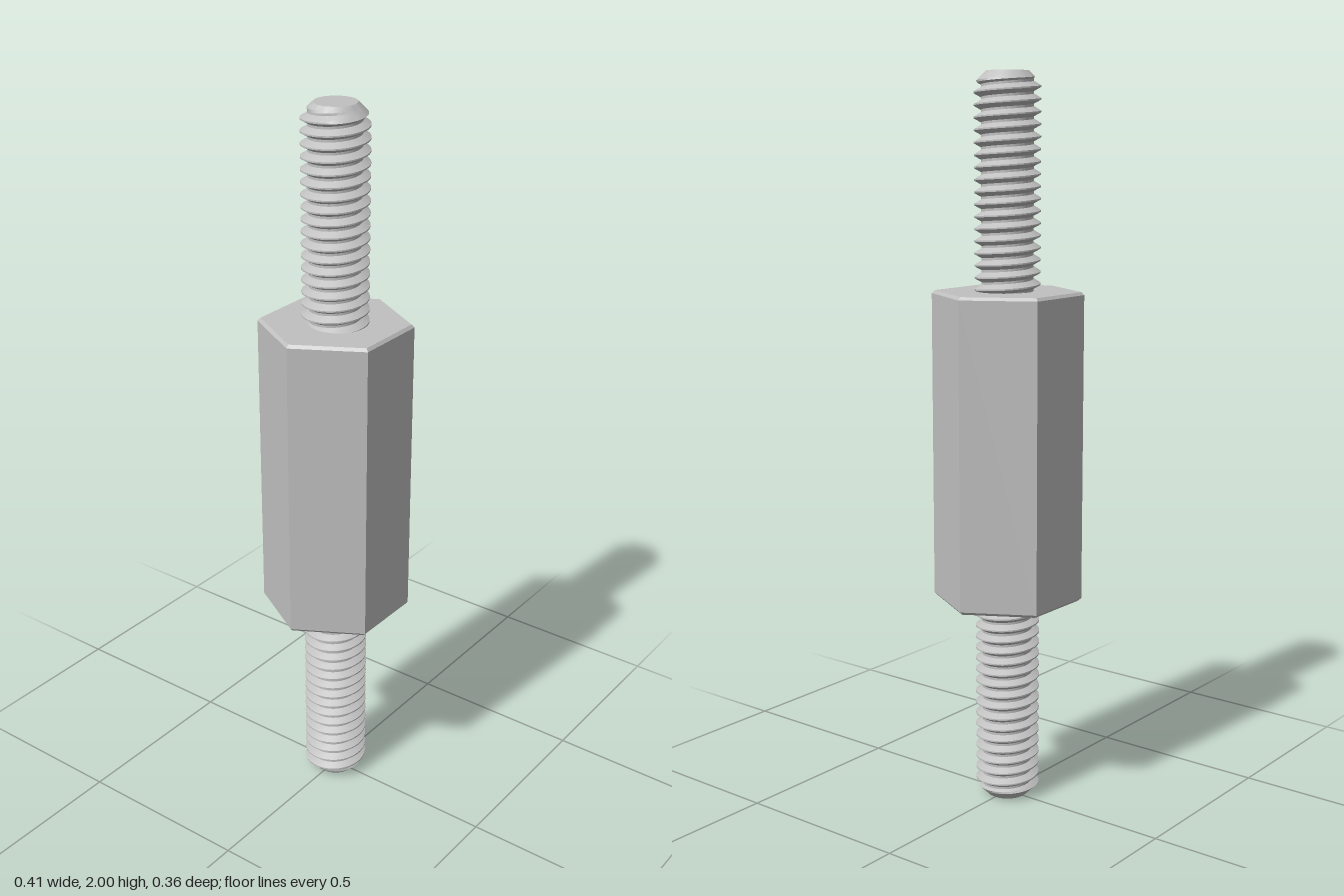
import * as THREE from 'three';
import { toCreasedNormals } from 'three/addons/utils/BufferGeometryUtils.js';

const PITCH = 0.0321, CREST = 0.0885, ROOT = 0.0695, TIP = 0.056;
const HEX_R = 0.206, HEX_BEVEL = 0.008, HEX_HALF = 0.4265, TOP = 1;

// One pitch of the thread: [fraction of pitch, height between root and crest]
const PROFILE = [[0, 0], [0.2, 0], [0.36, 0.5], [0.52, 1], [0.64, 1], [0.82, 0.5]];

// Right-handed helical surface from y0 to y1, cut by a 45 degree cone at the tip
function threadGeometry(y0, y1, sides = 48) {
  const turns = Math.ceil((y1 - y0) / PITCH) + 1;
  const rows = [];
  for (let k = -1; k < turns; k++) {
    for (const [f, h] of PROFILE) rows.push([k + f, ROOT + (CREST - ROOT) * h]);
  }
  const point = ([phase, r], i) => {
    const a = (i % sides) / sides * Math.PI * 2;
    const y = THREE.MathUtils.clamp(y0 + PITCH * (phase + i / sides), y0, y1);
    const rad = Math.min(r, TIP + y1 - y);
    return new THREE.Vector3(Math.cos(a) * rad, y, -Math.sin(a) * rad);
  };
  const pos = [];
  const tri = (a, b, c) => {
    const area = b.clone().sub(a).cross(c.clone().sub(a)).length();
    if (area > 1e-9) for (const p of [a, b, c]) pos.push(p.x, p.y, p.z);
  };
  for (let j = 0; j < rows.length - 1; j++) {
    for (let i = 0; i < sides; i++) {
      const a = point(rows[j], i), b = point(rows[j], i + 1);
      const c = point(rows[j + 1], i + 1), d = point(rows[j + 1], i);
      tri(a, b, c);
      tri(a, c, d);
    }
  }
  const geo = new THREE.BufferGeometry();
  geo.setAttribute('position', new THREE.Float32BufferAttribute(pos, 3));
  return toCreasedNormals(geo, 0.5);
}

// Hexagonal prism with small bevels, corners on the x axis
function hexGeometry() {
  const r = HEX_R, h = HEX_HALF, b = HEX_BEVEL;
  const profile = [[0, -h], [r - b, -h], [r, -h + b], [r, h - b], [r - b, h], [0, h]]
    .map(([x, y]) => new THREE.Vector2(x, y));
  const geo = new THREE.LatheGeometry(profile, 6, Math.PI / 2);
  return toCreasedNormals(geo, 0.1);
}

export function createModel() {
  const metal = new THREE.MeshStandardMaterial({ color: 0xc0c0c0 });
  const model = new THREE.Group();
  model.name = 'hexStandoff';

  const body = new THREE.Mesh(hexGeometry(), metal);
  body.name = 'hexBody';
  model.add(body);

  // Threaded studs, the lower one turned end for end
  const thread = threadGeometry(HEX_HALF - 0.01, TOP);
  const cap = new THREE.CircleGeometry(TIP, 48).rotateX(-Math.PI / 2).translate(0, TOP, 0);
  for (const [name, turn] of [['upperStud', 0], ['lowerStud', Math.PI]]) {
    const stud = new THREE.Group();
    stud.name = name;
    const screw = new THREE.Mesh(thread, metal);
    screw.name = 'thread';
    const end = new THREE.Mesh(cap, metal);
    end.name = 'studEnd';
    stud.add(screw, end);
    stud.rotation.x = turn;
    model.add(stud);
  }

  // Stand the part on the ground
  for (const part of model.children) part.position.y = TOP;
  return model;
}
